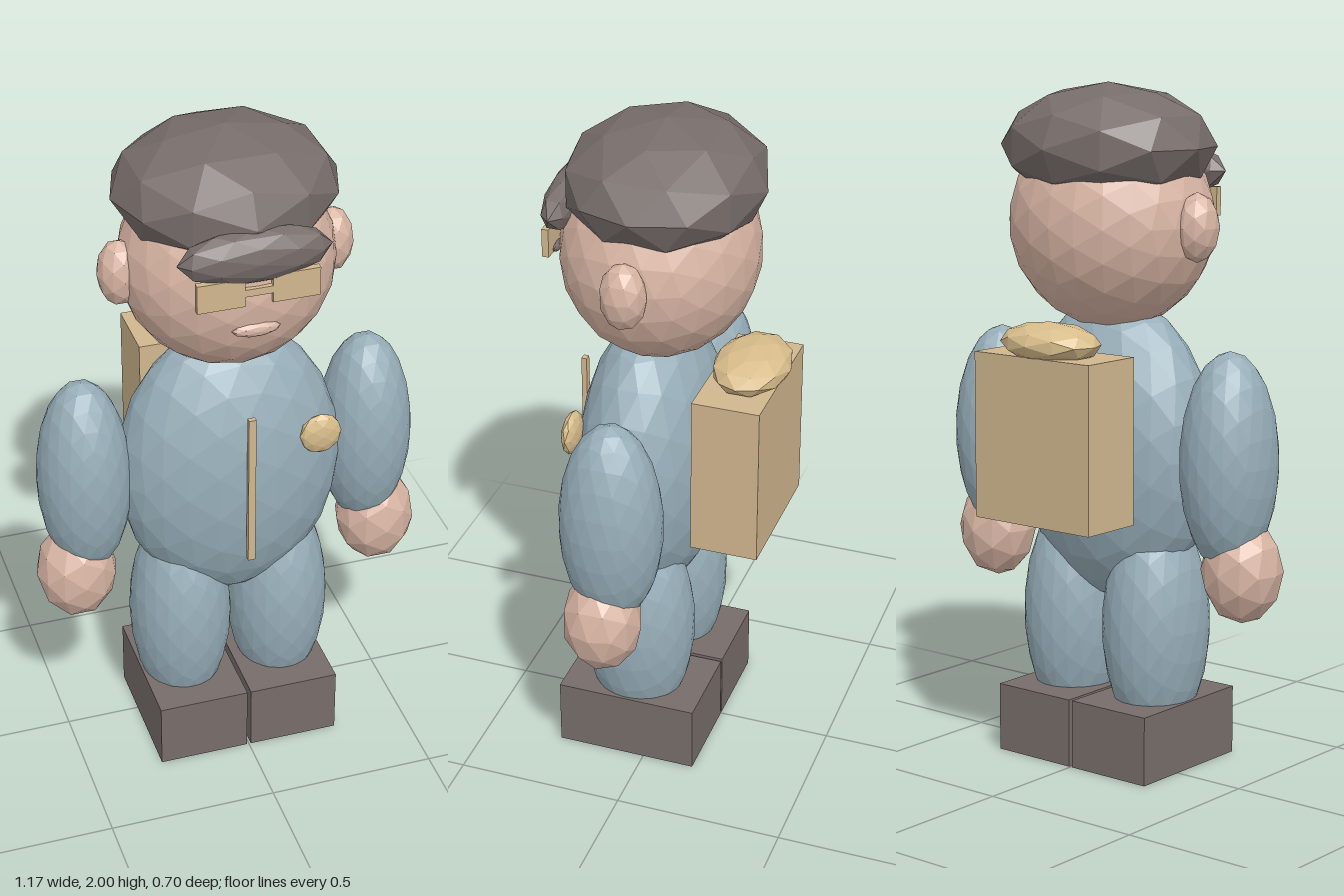
import * as THREE from 'three';

export function createModel() {
  const model = new THREE.Group();
  model.name = 'figure';

  const mat = (name, color) => {
    const m = new THREE.MeshStandardMaterial({ color });
    m.name = name;
    return m;
  };
  const skin = mat('skin', 0xd8b5a4);
  const cloth = mat('blueCloth', 0x97aeb9);
  const dark = mat('darkLeather', 0x776d6a);
  const tan = mat('tan', 0xd0b68e);
  const gold = mat('gold', 0xd8bd8b);

  const add = (name, geometry, material, x, y, z) => {
    const mesh = new THREE.Mesh(geometry, material);
    mesh.name = name;
    mesh.position.set(x, y, z);
    model.add(mesh);
    return mesh;
  };

  // Faceted ellipsoid: unshared vertices give flat normals
  const blob = (name, material, [x, y, z], [rx, ry, rz], detail = 1) => {
    const g = new THREE.IcosahedronGeometry(1, detail);
    g.scale(rx, ry, rz);
    g.computeVertexNormals();
    return add(name, g, material, x, y, z);
  };
  const box = (name, material, [x, y, z], [w, h, d]) =>
    add(name, new THREE.BoxGeometry(w, h, d), material, x, y, z);

  // Body and head
  blob('torso', cloth, [0, 0.93, 0.055], [0.335, 0.45, 0.21], 3);
  blob('head', skin, [0, 1.6, 0.035], [0.31, 0.31, 0.285], 3);
  blob('mouth', skin, [0, 1.517, 0.3], [0.07, 0.024, 0.022]);

  // Cap
  blob('capCrown', dark, [0, 1.82, 0.018], [0.326, 0.18, 0.292]);
  blob('capBrim', dark, [0, 1.74, 0.288], [0.22, 0.082, 0.062]);

  // Limbs and other paired parts
  for (const [side, s] of [['left', 1], ['right', -1]]) {
    blob(side + 'Ear', skin, [s * 0.31, 1.6, 0.035], [0.063, 0.1, 0.068]);
    blob(side + 'Eye', dark, [s * 0.11, 1.615, 0.302], [0.035, 0.015, 0.01]);
    box(side + 'Lens', tan, [s * 0.107, 1.648, 0.315], [0.135, 0.085, 0.02]);
    blob(side + 'Arm', cloth, [s * 0.43, 0.94, 0.034], [0.138, 0.32, 0.15], 3);
    blob(side + 'Hand', skin, [s * 0.467, 0.63, 0.05], [0.12, 0.155, 0.117]);
    blob(side + 'Leg', cloth, [s * 0.152, 0.42, 0.055], [0.152, 0.35, 0.17], 3);
    box(side + 'Boot', dark, [s * 0.142, 0.102, 0.055], [0.272, 0.204, 0.425]);
  }
  box('glassesBridge', tan, [0, 1.645, 0.315], [0.09, 0.022, 0.018]);

  // Jacket details
  box('zipper', tan, [0, 0.958, 0.272], [0.022, 0.485, 0.016]);
  blob('badge', gold, [0.222, 1.08, 0.228], [0.063, 0.065, 0.026]);

  // Backpack with bedroll
  box('backpack', tan, [0, 0.998, -0.227], [0.424, 0.485, 0.2]);
  blob('bedroll', gold, [0, 1.275, -0.24], [0.163, 0.06, 0.113]);

  return model;
}
